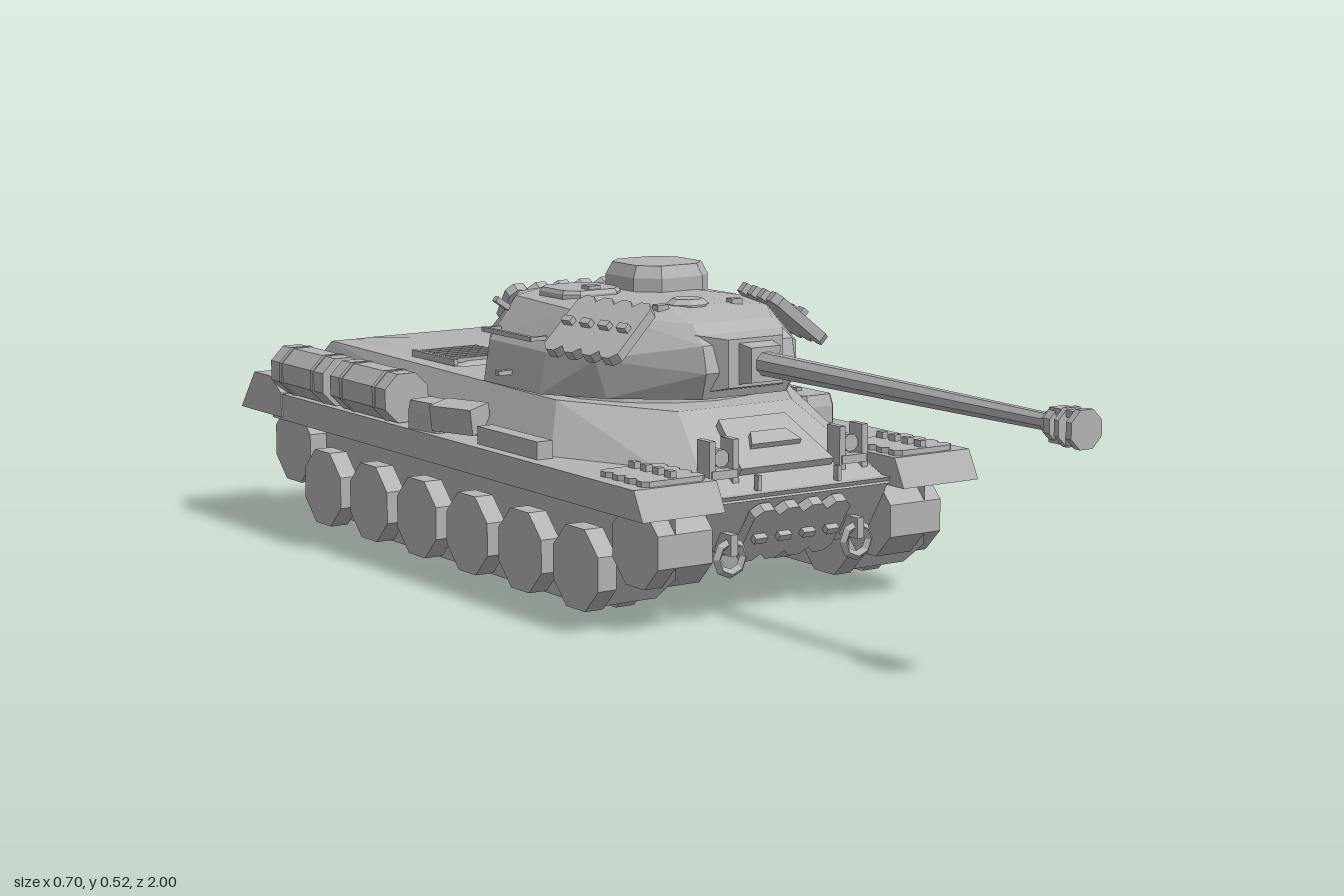
import * as THREE from 'three';
import { ConvexGeometry } from 'three/addons/geometries/ConvexGeometry.js';

const steel = new THREE.MeshStandardMaterial({ color: 0xb4b4b4 });
steel.name = 'grey steel';
const steelThin = steel.clone();
steelThin.name = 'grey steel sheet';
steelThin.side = THREE.DoubleSide;

// Faceted mesh added to a parent
function part(parent, name, geo, x = 0, y = 0, z = 0, mat = steel) {
  const g = geo.index ? geo.toNonIndexed() : geo;
  g.computeVertexNormals();
  const m = new THREE.Mesh(g, mat);
  m.name = name;
  m.position.set(x, y, z);
  parent.add(m);
  return m;
}
const box = (w, h, d) => new THREE.BoxGeometry(w, h, d);
const shape = (pts) => new THREE.Shape(pts.map((p) => new THREE.Vector2(p[0], p[1])));
const plate = (pts, depth) => new THREE.ExtrudeGeometry(shape(pts), { depth, bevelEnabled: false });
// Side profile of [z, y] points swept from x0 to x1
const sweepX = (pts, x0, x1) => plate(pts, x1 - x0).rotateY(-Math.PI / 2).translate(x1, 0, 0);
// Convex solid, symmetric about x = 0
const solid = (pts) => new ConvexGeometry(pts.flatMap(([x, y, z]) =>
  [new THREE.Vector3(x, y, z), new THREE.Vector3(-x, y, z)]));
// Eight-sided drum with flats up, along x or z; a is the half height across flats
function drum(a, len, axis, a2 = a) {
  const k = 1 / Math.cos(Math.PI / 8);
  const g = new THREE.CylinderGeometry(a * k, a2 * k, len, 8).rotateY(Math.PI / 8);
  return axis === 'x' ? g.rotateZ(Math.PI / 2) : g.rotateX(Math.PI / 2);
}
// Square block with cut corners, lying flat
function cutBlock(w, d, h, c, taper = 1) {
  const a = w / 2, b = d / 2, pts = [];
  for (const [k, y] of [[1, 0], [1, h * 0.6], [taper, h]])
    for (const z of [-1, 1]) pts.push([a * k, y, z * (b - c) * k], [(a - c) * k, y, z * b * k]);
  return solid(pts);
}
// Group whose local z is the surface normal and local x runs along the surface
function surfaceGroup(parent, name, pos, normal, along) {
  const g = new THREE.Group();
  g.name = name;
  const z = new THREE.Vector3(...normal).normalize();
  const y = new THREE.Vector3().crossVectors(z, new THREE.Vector3(...along)).normalize();
  const x = new THREE.Vector3().crossVectors(y, z);
  g.quaternion.setFromRotationMatrix(new THREE.Matrix4().makeBasis(x, y, z));
  g.position.set(...pos);
  parent.add(g);
  return g;
}
// Row of spare track links with scalloped ends
function trackLinks(g, n, pitch, w, t = 0.018) {
  const a = pitch / 2, h = w / 2, c = pitch * 0.28;
  for (let i = 0; i < n; i++) {
    const x = (i - (n - 1) / 2) * pitch;
    part(g, 'trackLink', plate([[-a, -h + c], [-a + c, -h], [a - c, -h], [a, -h + c],
      [a, h - c], [a - c, h], [-a + c, h], [-a, h - c]], t), x, 0, -t / 2);
    part(g, 'linkTooth', box(pitch * 0.5, 0.012, 0.014), x, 0, t / 2 + 0.004);
  }
}

function buildHull(tank) {
  const hull = new THREE.Group();
  hull.name = 'hull';
  tank.add(hull);
  part(hull, 'lowerHull', sweepX([[0.32, 0.21], [0.25, 0.1], [-0.82, 0.1], [-0.95, 0.21]], -0.178, 0.178));
  part(hull, 'upperHull', solid([[0.18, 0.2, 0.32], [0.28, 0.2, 0.03], [0.28, 0.24, 0], [0.28, 0.2, -0.95],
    [0.115, 0.32, 0.13], [0.23, 0.325, -0.06], [0.225, 0.332, -0.85], [0.27, 0.2, -0.955]]));
  part(hull, 'engineDeck', solid([[0.19, 0.33, -0.44], [0.19, 0.33, -0.84], [0.16, 0.336, -0.83],
    [0.16, 0.336, -0.46], [0, 0.343, -0.66]]));
  part(hull, 'turretRing', new THREE.CylinderGeometry(0.2, 0.21, 0.03, 16), 0, 0.33, -0.13);

  // Driver's hatch with visor on the sloped bow
  const bow = surfaceGroup(hull, 'driverHatch', [0, 0.262, 0.224], [0, 0.845, 0.535], [1, 0, 0]);
  part(bow, 'hatchPlate', plate([[-0.093, -0.055], [0.093, -0.055], [0.067, 0.065], [-0.067, 0.065]], 0.014));
  part(bow, 'visor', plate([[-0.05, -0.012], [0.05, -0.012], [0.035, 0.018], [-0.035, 0.018]], 0.024));
  const bowLinks = surfaceGroup(hull, 'bowLinks', [0, 0.14, 0.287], [0, -0.57, 0.82], [1, 0, 0]);
  trackLinks(bowLinks, 4, 0.048, 0.115);

  // Rear towing bracket
  const tail = surfaceGroup(hull, 'rearTowBracket', [0, 0.275, -0.9], [0, 0.63, -0.78], [-1, 0, 0]);
  part(tail, 'towPlate', plate([[-0.055, 0.04], [-0.012, -0.025], [0.012, -0.025], [0.055, 0.04]], 0.014));
  part(tail, 'towRing', new THREE.TorusGeometry(0.024, 0.007, 4, 8), 0, -0.045, 0.02);

  for (const s of [-1, 1]) {
    for (let i = 0; i < 7; i++)
      part(hull, 'louver', box(0.12, 0.008, 0.01), s * 0.125, 0.338, -0.47 - i * 0.02);
    part(hull, 'grilleFrame', box(0.008, 0.012, 0.15), s * 0.19, 0.336, -0.53);
    // Tow hooks
    part(hull, 'towHook', new THREE.TorusGeometry(0.026, 0.008, 4, 8), s * 0.127, 0.106, 0.295);
    part(hull, 'towLug', box(0.014, 0.035, 0.05), s * 0.127, 0.128, 0.282);
    // Bow frames
    for (const x of [0.107, 0.153]) part(hull, 'bowFramePost', box(0.012, 0.085, 0.035), s * x, 0.253, 0.265);
    part(hull, 'bowFrameBar', box(0.05, 0.014, 0.02), s * 0.13, 0.24, 0.275);
    part(hull, 'bowLamp', drum(0.014, 0.03, 'z'), s * 0.13, 0.265, 0.26);
    part(hull, 'bowPin', box(0.007, 0.025, 0.012), s * 0.08, 0.225, 0.305);
  }
}

function buildFenders(tank) {
  for (const s of [-1, 1]) {
    const f = new THREE.Group();
    f.name = s > 0 ? 'leftFender' : 'rightFender';
    tank.add(f);
    const span = (a, b) => (s > 0 ? [a, b] : [-b, -a]);
    part(f, 'fenderShelf', sweepX([[0.355, 0.195], [0.33, 0.243], [-0.88, 0.243], [-0.88, 0.195]], ...span(0.178, 0.335)));
    part(f, 'rearMudguard', sweepX([[-0.84, 0.2], [-0.84, 0.245], [-0.88, 0.272], [-0.945, 0.272], [-1, 0.2]], ...span(0.17, 0.338)));
    trackLinks(surfaceGroup(f, 'fenderLinks', [s * 0.25, 0.246, 0.255], [0, 1, 0], [0, 0, 1]), 4, 0.034, 0.12, 0.012);
    // Fuel drums with straps
    for (const z of [-0.53, -0.757]) {
      part(f, 'fuelDrum', drum(0.043, 0.2, 'z'), s * 0.305, 0.287, z);
      for (const dz of [-0.06, 0.06]) part(f, 'drumStrap', drum(0.0445, 0.01, 'z'), s * 0.305, 0.287, z + dz);
    }
    // Stowage
    if (s > 0) {
      for (const [z, d] of [[-0.3, 0.18], [-0.095, 0.165]]) {
        part(f, 'stowageBox', cutBlock(0.065, d, 0.05, 0.006, 0.92), 0.282, 0.243, z);
        part(f, 'boxHandle', box(0.012, 0.008, 0.04), 0.282, 0.295, z);
      }
    } else {
      part(f, 'stowageBox', cutBlock(0.055, 0.085, 0.05, 0.006, 0.92), -0.3, 0.243, -0.345).rotation.y = 0.15;
      part(f, 'toolCase', box(0.05, 0.045, 0.09), -0.295, 0.275, -0.265).rotation.set(0, 0.35, 0.15);
      part(f, 'towBeam', box(0.03, 0.03, 0.19), -0.3, 0.258, -0.08);
    }
  }
}

function buildRunningGear(tank) {
  const side = [[0.32, 0.2], [0.32, 0.09], [0.265, 0.05], [0.08, 0], [-0.625, 0], [-0.96, 0.08], [-0.97, 0.2]];
  for (const s of [-1, 1]) {
    const g = new THREE.Group();
    g.name = s > 0 ? 'leftRunningGear' : 'rightRunningGear';
    tank.add(g);
    part(g, 'trackSheet', new THREE.ShapeGeometry(shape(side)).rotateY(-Math.PI / 2), s * 0.25, 0, 0, steelThin);
    for (let i = 0; i < 6; i++) {
      const z = 0.105 - i * 0.172;
      for (const x of [0.2225, 0.2825]) part(g, 'roadWheel', drum(0.068, 0.035, 'x'), s * x, 0.077, z);
      part(g, 'axle', drum(0.018, 0.12, 'x'), s * 0.23, 0.077, z);
      part(g, 'suspensionArm', box(0.025, 0.035, 0.09), s * 0.185, 0.095, z - 0.025).rotation.x = -0.3;
    }
    part(g, 'frontIdler', drum(0.065, 0.105, 'x'), s * 0.231, 0.135, 0.255);
    part(g, 'rearSprocket', drum(0.068, 0.105, 'x'), s * 0.231, 0.135, -0.9);
  }
}

function buildTurret(tank) {
  const t = new THREE.Group();
  t.name = 'turret';
  tank.add(t);
  part(t, 'turretShell', solid([
    [0.085, 0.34, 0.155], [0.19, 0.335, 0.03], [0.238, 0.33, -0.1], [0.238, 0.33, -0.28], [0.14, 0.33, -0.41],
    [0.09, 0.385, 0.175], [0.09, 0.43, 0.165], [0.205, 0.4, 0.02], [0.226, 0.4, -0.1], [0.22, 0.4, -0.29], [0.13, 0.4, -0.43],
    [0.08, 0.46, 0.12], [0.15, 0.465, 0.01], [0.175, 0.468, -0.1], [0.16, 0.47, -0.3], [0.1, 0.465, -0.385],
    [0.06, 0.476, 0.02], [0.11, 0.478, -0.12], [0.09, 0.478, -0.32]]));

  // Gun with mantlet and slotted muzzle brake
  part(t, 'mantlet', solid([[0.088, 0.348, 0.14], [0.088, 0.445, 0.14], [0.055, 0.36, 0.187], [0.055, 0.44, 0.187]]));
  part(t, 'gunCollar', solid([[0.037, 0.362, 0.17], [0.037, 0.436, 0.17], [0.029, 0.37, 0.215], [0.029, 0.428, 0.215]]));
  part(t, 'barrel', drum(0.0125, 0.73, 'z', 0.019), 0, 0.4, 0.565);
  part(t, 'brakeBase', drum(0.026, 0.02, 'z', 0.014), 0, 0.4, 0.925);
  for (const [z, d] of [[0.942, 0.014], [0.967, 0.01], [0.994, 0.012]])
    part(t, 'brakeRing', drum(z > 0.95 ? 0.029 : 0.026, d, 'z'), 0, 0.4, z);
  for (const s of [-1, 1]) part(t, 'brakeBar', box(0.03, 0.01, 0.06), 0, 0.4 + s * 0.021, 0.965);
  part(t, 'brakeCore', drum(0.012, 0.06, 'z'), 0, 0.4, 0.96);

  // Roof fittings
  part(t, 'commanderCupola', cutBlock(0.155, 0.158, 0.052, 0.035, 0.87), 0.077, 0.47, -0.217);
  part(t, 'loaderHatch', cutBlock(0.118, 0.118, 0.016, 0.022, 0.93), -0.08, 0.472, -0.22);
  part(t, 'hatchKnob', box(0.024, 0.02, 0.024), -0.08, 0.484, -0.185);
  part(t, 'ventDome', cutBlock(0.07, 0.066, 0.022, 0.02, 0.7), -0.008, 0.464, 0);
  for (const x of [-0.075, 0.075]) part(t, 'periscope', box(0.022, 0.02, 0.018), x, 0.472, 0.02);

  // Spare links and rails
  for (const s of [-1, 1]) {
    trackLinks(surfaceGroup(t, 'cheekLinks', [s * 0.186, 0.446, 0.005], [s * 0.62, 0.76, 0.15], [-s * 0.22, 0, 1]), 4, 0.042, 0.125);
    part(t, 'handrail', box(0.008, 0.008, 0.16), s * 0.238, 0.42, -0.2);
    for (const z of [-0.125, -0.275]) part(t, 'railPost', box(0.035, 0.007, 0.007), s * 0.225, 0.42, z);
    part(t, 'liftingLug', box(0.03, 0.008, 0.012), s * 0.245, 0.355, -0.2);
    part(t, 'roofLug', box(0.03, 0.01, 0.012), s * 0.195, 0.46, -0.29).rotation.z = s * 0.6;
  }
  trackLinks(surfaceGroup(t, 'rearLinks', [0, 0.437, -0.418], [0, 0.55, -0.83], [-1, 0, 0]), 5, 0.046, 0.08);
  part(t, 'rearGunPort', drum(0.018, 0.035, 'z'), 0.11, 0.42, -0.435);
  part(t, 'rearGun', drum(0.004, 0.06, 'z'), 0.112, 0.424, -0.465);
}

export function createModel() {
  const tank = new THREE.Group();
  tank.name = 'tank';
  buildHull(tank);
  buildFenders(tank);
  buildRunningGear(tank);
  buildTurret(tank);
  return tank;
}
